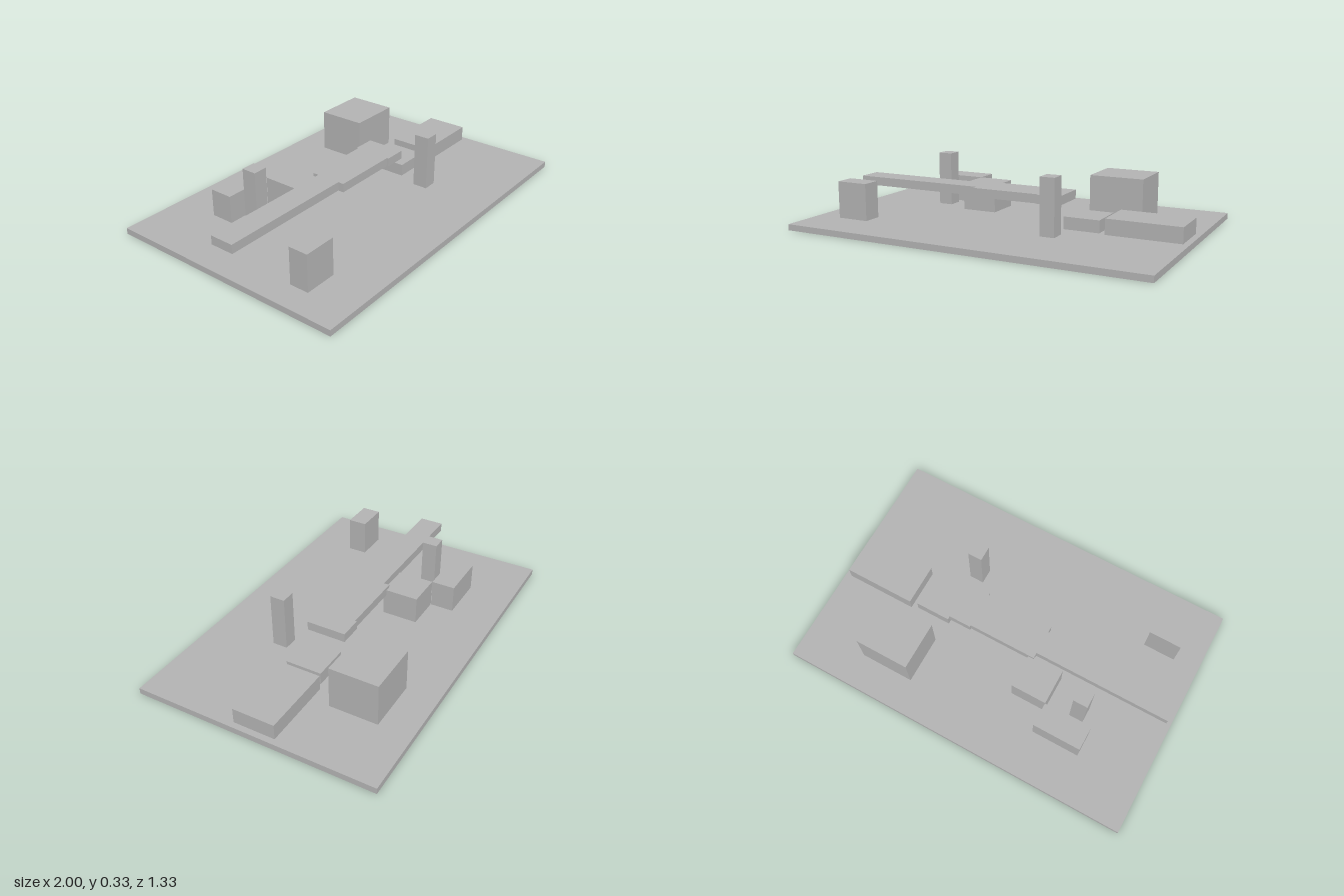
import * as THREE from 'three';

const grey = new THREE.MeshStandardMaterial({ color: 0xb2b2b2 });
grey.name = 'plain grey';

// Box given by its extents on each axis
function block(name, [x0, x1], [y0, y1], [z0, z1]) {
  const mesh = new THREE.Mesh(new THREE.BoxGeometry(x1 - x0, y1 - y0, z1 - z0), grey);
  mesh.position.set((x0 + x1) / 2, (y0 + y1) / 2, (z0 + z1) / 2);
  mesh.name = name;
  return mesh;
}

export function createModel() {
  const model = new THREE.Group();
  model.name = 'blockLayout';
  const ground = 0.033;

  // Ground slab
  model.add(block('baseSlab', [-1, 1], [0, ground], [-0.667, 0.667]));

  // Blocks standing on the slab: name, x range, top height, z range
  const standing = [
    ['frontBlock', [-0.857, -0.677], 0.235, [0.315, 0.421]],
    ['frontPost', [0.29, 0.37], 0.335, [0.21, 0.293]],
    ['backPost', [-0.577, -0.497], 0.335, [-0.24, -0.157]],
    ['backLowBlock', [-0.636, -0.367], 0.185, [-0.415, -0.285]],
    ['innerLowBlock', [-0.367, -0.168], 0.185, [-0.283, -0.083]],
    ['largeBlock', [0.35, 0.65], 0.267, [-0.485, -0.218]],
    ['squareStep', [0.334, 0.532], 0.1, [-0.1, 0.1]],
    ['longStep', [0.567, 0.967], 0.117, [-0.116, 0.116]],
  ];
  for (const [name, x, top, z] of standing) model.add(block(name, x, [ground, top], z));

  // Raised walkway that widens towards the left: name, x range, half width
  const walkway = new THREE.Group();
  walkway.name = 'raisedWalkway';
  const spans = [
    ['narrowSpan', [-0.967, -0.2], 0.067],
    ['middleSpan', [-0.2, 0.184], 0.1],
    ['endSpan', [0.184, 0.312], 0.11],
  ];
  for (const [name, x, half] of spans) walkway.add(block(name, x, [0.153, 0.202], [-half, half]));
  model.add(walkway);

  return model;
}
